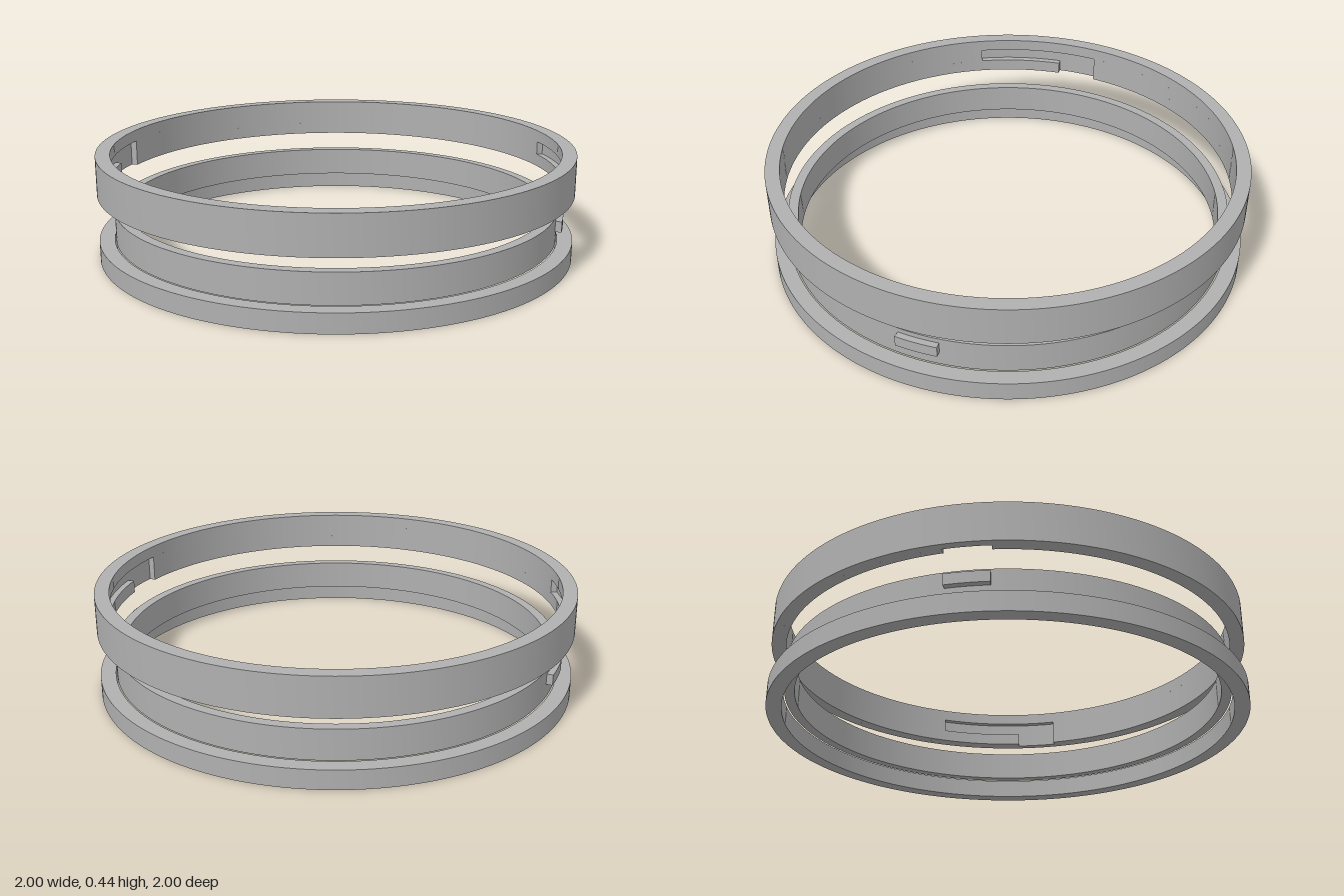
import * as THREE from 'three';
import { toCreasedNormals } from 'three/addons/utils/BufferGeometryUtils.js';

const DEG = Math.PI / 180;

// Solid band between two radii and two heights, from angle a0 to a1 (degrees, +x towards -z).
function band(r0, r1, y0, y1, a0 = 0, a1 = 360) {
  const shape = new THREE.Shape();
  const full = a1 - a0 >= 360;
  if (full) {
    shape.absarc(0, 0, r1, 0, Math.PI * 2, false);
    const hole = new THREE.Path();
    hole.absarc(0, 0, r0, 0, Math.PI * 2, true);
    shape.holes.push(hole);
  } else {
    shape.absarc(0, 0, r1, a0 * DEG, a1 * DEG, false);
    shape.absarc(0, 0, r0, a1 * DEG, a0 * DEG, true);
    shape.closePath();
  }
  const geo = new THREE.ExtrudeGeometry(shape, {
    depth: y1 - y0,
    bevelEnabled: false,
    curveSegments: Math.max(6, Math.round((a1 - a0) / 2.5)),
  });
  geo.rotateX(-Math.PI / 2);
  geo.translate(0, y0, 0);
  return toCreasedNormals(geo, 0.5);
}

export function createModel() {
  const model = new THREE.Group();
  const grey = new THREE.MeshStandardMaterial({ color: 0xb0b0b0 });
  grey.name = 'plain grey';

  const add = (parent, name, geo) => {
    const mesh = new THREE.Mesh(geo, grey);
    mesh.name = name;
    parent.add(mesh);
  };

  // Lower ring: wide flange, narrower collar above it, two locking tabs
  const lower = new THREE.Group();
  lower.name = 'lowerRing';
  model.add(lower);
  add(lower, 'flange', band(0.937, 1, 0, 0.08));
  add(lower, 'collar', band(0.89, 0.932, 0.08, 0.205));
  for (const a of [0, 180]) {
    add(lower, 'lockingTab', band(0.925, 0.958, 0.14, 0.185, a - 5.1, a + 5.1));
  }

  // Upper ring: outer shell plus an inner lining cut by two L-shaped grooves
  const upper = new THREE.Group();
  upper.name = 'upperRing';
  model.add(upper);
  const inner = 0.94, groove = 0.967;
  const entry = 5.4, runEnd = 28.5;
  add(upper, 'outerShell', band(groove, 1, 0.28, 0.44));
  add(upper, 'liningTop', band(inner, groove, 0.39, 0.44));
  for (const a of [0, 180]) {
    // Level of the sideways run
    add(upper, 'liningMiddle', band(inner, groove, 0.333, 0.39, a + runEnd, a + 180 - entry));
    // Level of the entry slot, open at the bottom
    add(upper, 'liningBottom', band(inner, groove, 0.28, 0.333, a + entry, a + 180 - entry));
  }

  return model;
}
